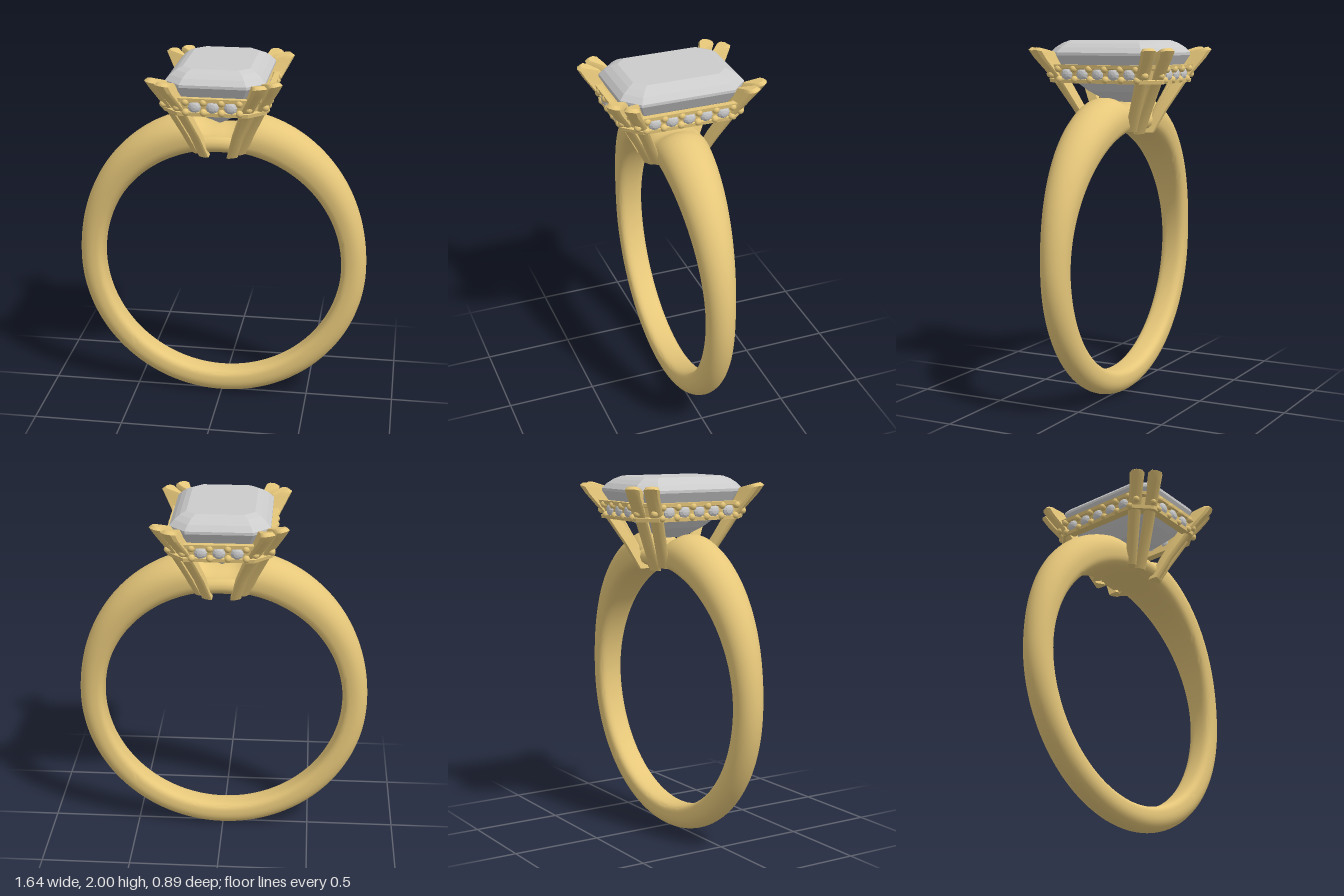
import * as THREE from 'three';
import { toCreasedNormals } from 'three/addons/utils/BufferGeometryUtils.js';

const gold = new THREE.MeshStandardMaterial({ color: 0xe6c77a });
const stone = new THREE.MeshStandardMaterial({ color: 0xcccccc });

const smooth = THREE.MathUtils.smoothstep;
const lerp = THREE.MathUtils.lerp;

// Skin a list of equal-sized rings of Vector3; closed joins last ring to first, otherwise ends are capped.
function loft(rings, { closed = false, crease = 0.6 } = {}) {
  const n = rings[0].length, m = rings.length;
  const pts = rings.flat(), index = [];
  for (let i = 0; i < (closed ? m : m - 1); i++) {
    for (let j = 0; j < n; j++) {
      const a = i * n + j, b = i * n + (j + 1) % n;
      const k = (i + 1) % m * n, c = k + (j + 1) % n, d = k + j;
      index.push(a, b, c, a, c, d);
    }
  }
  if (!closed) {
    const last = (m - 1) * n;
    for (let j = 1; j < n - 1; j++) {
      index.push(0, j + 1, j, last, last + j, last + j + 1);
    }
  }
  // Turn faces outward if the enclosed volume is negative
  let volume = 0;
  const cross = new THREE.Vector3();
  for (let i = 0; i < index.length; i += 3) {
    volume += pts[index[i]].dot(cross.crossVectors(pts[index[i + 1]], pts[index[i + 2]]));
  }
  if (volume < 0) index.reverse();
  const geo = new THREE.BufferGeometry().setFromPoints(pts);
  geo.setIndex(index);
  return toCreasedNormals(geo, crease);
}

// Rectangle with cut corners at height y
function octagon(hx, hz, cut, y) {
  return [
    [hx, hz - cut], [hx - cut, hz], [cut - hx, hz], [-hx, hz - cut],
    [-hx, cut - hz], [cut - hx, -hz], [hx - cut, -hz], [hx, cut - hz],
  ].map(([x, z]) => new THREE.Vector3(x, y, z));
}

function add(parent, name, geo, material) {
  const mesh = new THREE.Mesh(geo, material);
  mesh.name = name;
  parent.add(mesh);
  return mesh;
}

// Band: rounded section that grows wider and thicker toward the top, with a dip under the setting
function bandGeometry() {
  const rings = [], steps = 160, sides = 32, cy = 0.82, ri = 0.68;
  for (let i = 0; i < steps; i++) {
    const a = i / steps * Math.PI * 2;
    const deg = Math.abs(180 - i / steps * 360);
    const up = 180 - deg;
    const w = 0.076 + 0.07 * smooth(up, 85, 180);
    let ro = 0.82 + 0.08 * smooth(up, 90, 165);
    if (up > 120) {
      const cap = lerp(0.82, 0.87, smooth(Math.abs(0.85 * Math.sin(a)), 0.07, 0.17));
      ro = Math.min(ro, cap / -Math.cos(a));
    }
    const rm = lerp(ri, ro, 0.45);
    const ring = [];
    for (let j = 0; j < sides; j++) {
      const p = j / sides * Math.PI * 2, c = Math.cos(p), s = Math.sin(p);
      const inner = s < 0;
      const z = w * (inner ? Math.sign(c) * Math.abs(c) ** 0.6 : c);
      const r = inner ? rm - (rm - ri) * Math.abs(s) ** 0.6 : rm + (ro - rm) * s;
      ring.push(new THREE.Vector3(Math.sin(a) * r, cy - Math.cos(a) * r, z));
    }
    rings.push(ring);
  }
  return loft(rings, { closed: true, crease: 0.9 });
}

// Prong: wedge section swept outward along a path, with a slanted rounded tip
function prongGeometry(path, dx, dz) {
  const section = [[-1, -0.25], [-0.2, -0.65], [0.55, -1], [0.9, -0.7], [1, 0],
    [0.9, 0.7], [0.55, 1], [-0.2, 0.65], [-1, 0.25]];
  const rings = path.map(([x, y, z, depth, width, slant]) => section.map(([d, n]) =>
    new THREE.Vector3(
      x + dx * d * depth - dz * n * width,
      y + slant * d,
      z + dz * d * depth + dx * n * width)));
  return loft(rings, { crease: 0.75 });
}

export function createModel() {
  const model = new THREE.Group();
  model.name = 'ring';
  add(model, 'band', bandGeometry(), gold);

  // Step-cut centre stone: half width, half length, corner cut, height
  const facets = [
    [0.18, 0.255, 0.055, 2], [0.212, 0.288, 0.065, 1.985], [0.24, 0.32, 0.078, 1.963],
    [0.265, 0.345, 0.088, 1.935], [0.265, 0.345, 0.088, 1.92], [0.228, 0.308, 0.075, 1.855],
    [0.165, 0.235, 0.055, 1.78], [0.105, 0.165, 0.035, 1.72], [0.004, 0.075, 0.001, 1.66],
  ];
  add(model, 'centreStone', loft(facets.map((f) => octagon(...f)), { crease: 0.05 }), stone);

  // Gallery frame: grooved rail around the stone (offset from base size, height)
  const rail = [
    [-0.06, 1.77], [-0.015, 1.77], [-0.012, 1.79], [-0.024, 1.795], [-0.016, 1.845],
    [0, 1.85], [0.003, 1.87], [-0.03, 1.87],
  ];
  add(model, 'galleryFrame', loft(rail.map(([o, y]) => octagon(0.29 + o, 0.36 + o, 0.09, y)),
    { closed: true, crease: 0.3 }), gold);

  // Small stones and beads set along the four sides of the frame
  const gemGeo = toCreasedNormals(new THREE.SphereGeometry(0.037, 10, 6).rotateX(Math.PI / 2), 0.1);
  const beadGeo = new THREE.SphereGeometry(0.02, 14, 10);
  const pitch = 0.095;
  const sides = [[0, 0.342, 3], [Math.PI, 0.342, 3], [Math.PI / 2, 0.272, 5], [-Math.PI / 2, 0.272, 5]];
  for (const [turn, dist, count] of sides) {
    const row = new THREE.Group();
    row.name = 'accentRow';
    row.rotation.y = turn;
    for (let i = 0; i < count; i++) {
      const gem = add(row, 'accentStone', gemGeo, stone);
      gem.position.set((i - (count - 1) / 2) * pitch, 1.82, dist - 0.008);
      gem.scale.z = 0.65;
    }
    for (let i = 0; i <= count; i++) {
      for (const [y, out] of [[1.79, -0.002], [1.848, 0.01]]) {
        add(row, 'bead', beadGeo, gold).position.set((i - count / 2) * pitch, y, dist + out);
      }
    }
    // Single end beads close each row
    for (const s of [-1, 1]) {
      add(row, 'endBead', beadGeo, gold).position.set(s * (count / 2 + 0.5) * pitch, 1.815, dist);
    }
    model.add(row);
  }

  // Paired prongs at each corner: x, y, z, depth, width, slant
  const longPath = [
    [0.07, 1.49, 0.143, 0.03, 0.033, 0], [0.105, 1.62, 0.205, 0.035, 0.033, 0],
    [0.172, 1.8, 0.3, 0.042, 0.036, 0], [0.222, 1.9, 0.362, 0.055, 0.039, 0.005],
    [0.236, 1.935, 0.377, 0.066, 0.043, 0.015], [0.234, 1.952, 0.374, 0.05, 0.032, 0.012],
  ];
  const sidePath = [
    [0.116, 1.505, 0.12, 0.03, 0.033, 0], [0.158, 1.62, 0.168, 0.035, 0.033, 0],
    [0.235, 1.8, 0.246, 0.042, 0.036, 0], [0.284, 1.9, 0.298, 0.055, 0.039, 0.005],
    [0.298, 1.935, 0.313, 0.066, 0.043, 0.015], [0.296, 1.952, 0.31, 0.05, 0.032, 0.012],
  ];
  for (const sx of [-1, 1]) {
    for (const sz of [-1, 1]) {
      const flip = (path) => path.map(([x, y, z, ...rest]) => [x * sx, y, z * sz, ...rest]);
      add(model, 'frontProng', prongGeometry(flip(longPath), 0.5 * sx, 0.87 * sz), gold);
      add(model, 'sideProng', prongGeometry(flip(sidePath), 0.8 * sx, 0.6 * sz), gold);
    }
  }

  // Curved rails joining the feet of the prongs
  const arc = 0.24;
  for (const z of [-0.125, 0.125]) {
    const geo = new THREE.TorusGeometry(0.735, 0.045, 12, 12, arc).rotateZ(Math.PI / 2 - arc / 2);
    add(model, 'baseRail', geo, gold).position.set(0, 0.82, z);
  }
  return model;
}
